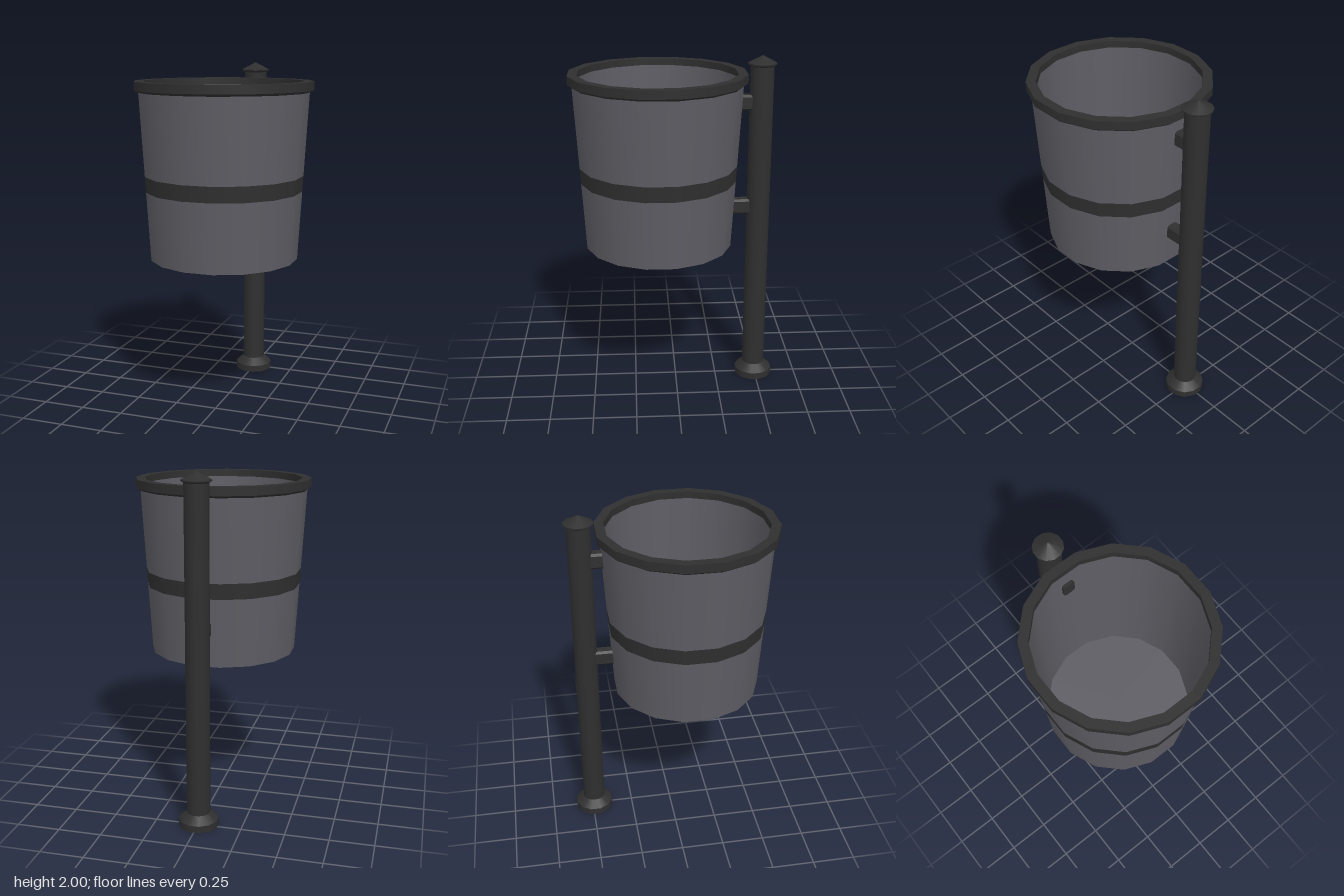
import * as THREE from 'three';
import { mergeGeometries } from 'three/addons/utils/BufferGeometryUtils.js';

const BIN_Z = 0.1, POST_Z = -0.49;

// Revolved profile [flat radius, y]; smooth around, sharp between the rings.
function revolve(points, sides) {
  const k = 1 / Math.cos(Math.PI / sides);
  const rings = [];
  for (let i = 0; i < points.length - 1; i++) {
    const pair = [points[i], points[i + 1]].map(([r, y]) => new THREE.Vector2(r * k, y));
    rings.push(new THREE.LatheGeometry(pair, sides, Math.PI / sides));
  }
  return mergeGeometries(rings);
}

export function createModel() {
  const grey = new THREE.MeshStandardMaterial({ color: 0x5e5d64 });
  grey.name = 'greyMetal';
  const dark = new THREE.MeshStandardMaterial({ color: 0x2f2f2f, side: THREE.DoubleSide });
  dark.name = 'darkMetal';

  const model = new THREE.Group();
  model.name = 'postMountedBin';
  function add(name, geometry, material, y, z, parent = model) {
    const mesh = new THREE.Mesh(geometry, material);
    mesh.name = name;
    mesh.position.set(0, y, z);
    parent.add(mesh);
    return mesh;
  }

  // Tapered bucket, with a flush dark band between its lower and upper walls
  const bin = new THREE.Group();
  bin.name = 'bin';
  model.add(bin);
  const wall = (y) => [0.421 + (y - 0.893) * 0.057, y];
  const addBin = (name, points, material) =>
    add(name, revolve(points, 16), material, 0, BIN_Z, bin);
  addBin('binLowerWall', [[0, 0.893], wall(0.893), wall(1.29)], grey);
  addBin('binBand', [wall(1.29), wall(1.38)], dark);
  addBin('binUpperWall', [wall(1.38), wall(1.86)], grey);
  addBin('binLining', [[0.447, 1.87], [0.411, 0.91], [0, 0.91]], grey);
  addBin('binRim', [
    [0.47, 1.85], [0.485, 1.85], [0.5, 1.862], [0.5, 1.91], [0.447, 1.91], [0.447, 1.86],
  ], dark);

  // Post with a flared foot and a pointed cap
  add('postFoot', revolve([[0.11, 0], [0.11, 0.04], [0.065, 0.08]], 12), dark, 0, POST_Z);
  add('post', revolve([[0.065, 0.08], [0.065, 1.945]], 12), dark, 0, POST_Z);
  add('postCap', revolve([[0.065, 1.94], [0.08, 1.95], [0.08, 1.957], [0, 2]], 12), dark, 0, POST_Z);

  // Chamfered brackets running from the post through the bin wall
  const w = 0.035, h = 0.045, c = 0.012;
  const section = new THREE.Shape([
    [w - c, -h], [w, -h + c], [w, h - c], [w - c, h],
    [-w + c, h], [-w, h - c], [-w, -h + c], [-w + c, -h],
  ].map(([x, y]) => new THREE.Vector2(x, y)));
  const bracket = new THREE.ExtrudeGeometry(section, { depth: 0.135, bevelEnabled: false });
  add('lowerBracket', bracket, dark, 1.115, -0.46);
  add('upperBracket', bracket, dark, 1.735, -0.46);

  return model;
}
